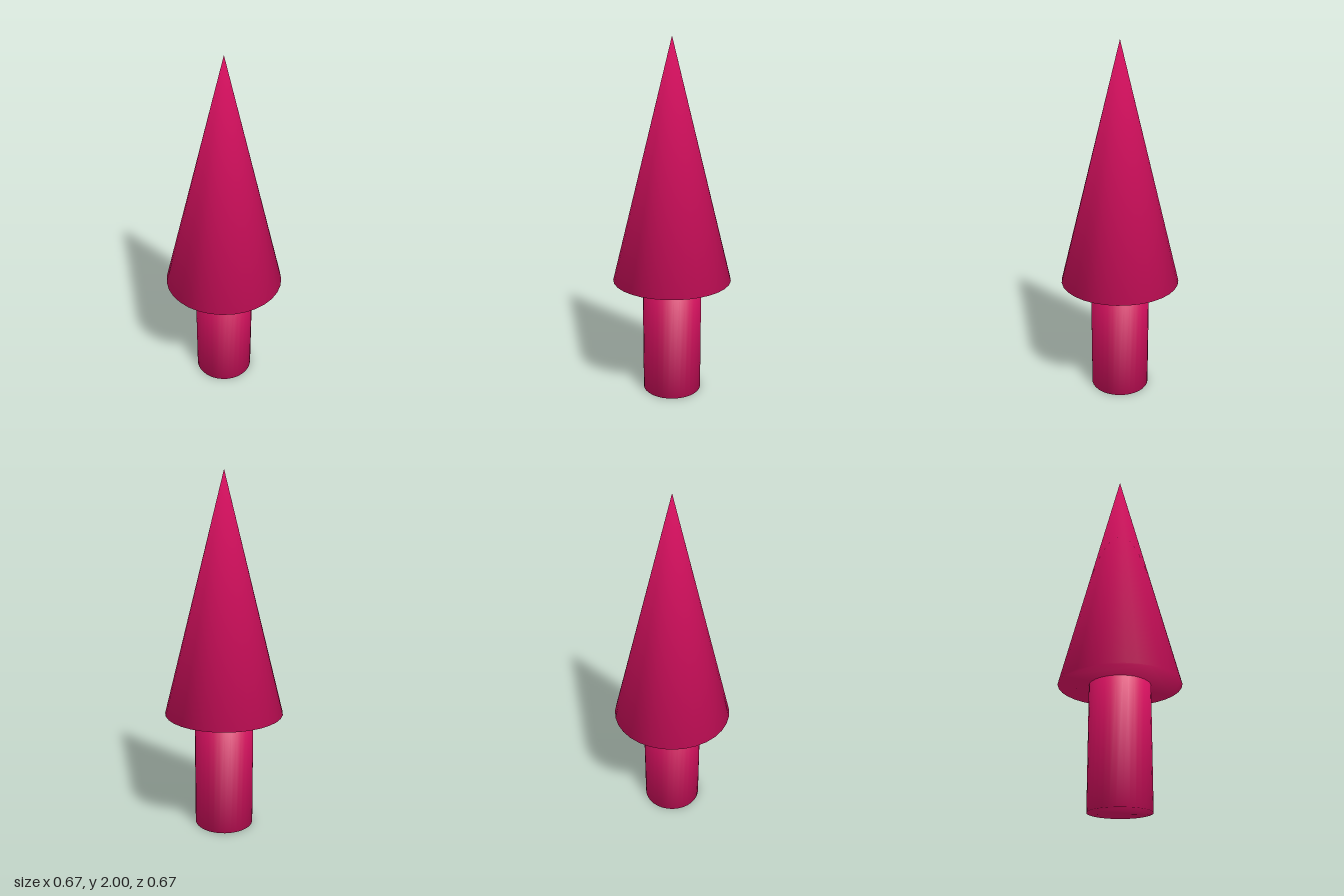
import * as THREE from 'three';
import { mergeGeometries } from 'three/addons/utils/BufferGeometryUtils.js';

const SIDES = 32;

// Round solid standing on y = 0, closed below, with normals blended softly over its rims
function softRound(bottomRadius, topRadius, height, rimTilt) {
  const wall = new THREE.CylinderGeometry(topRadius, bottomRadius, height, SIDES, 1, true);
  wall.translate(0, height / 2, 0);

  const ring = [];
  for (let i = 0; i < SIDES; i++) {
    const a = (i / SIDES) * Math.PI * 2;
    ring.push(new THREE.Vector2(bottomRadius * Math.cos(a), bottomRadius * Math.sin(a)));
  }
  const base = new THREE.ShapeGeometry(new THREE.Shape(ring));
  base.rotateX(Math.PI / 2); // faces down

  const geometry = mergeGeometries([wall, base]);
  const position = geometry.attributes.position;
  const n = new THREE.Vector3();
  for (let i = 0; i < position.count; i++) {
    const atTop = position.getY(i) > height / 2;
    n.set(position.getX(i), 0, position.getZ(i));
    if (atTop && topRadius === 0) n.set(0, 1, 0); // tip
    else {
      n.normalize().multiplyScalar(Math.sqrt(1 - rimTilt * rimTilt));
      n.y = atTop ? rimTilt : -rimTilt;
    }
    geometry.attributes.normal.setXYZ(i, n.x, n.y, n.z);
  }
  return geometry;
}

export function createModel() {
  const model = new THREE.Group();
  model.name = 'arrow';
  const material = new THREE.MeshStandardMaterial({ color: 0xd6105f });

  // Shaft
  const shaft = new THREE.Mesh(softRound(1 / 6, 1 / 6, 2 / 3, 0.447), material);
  shaft.name = 'shaft';

  // Pointed head
  const head = new THREE.Mesh(softRound(1 / 3, 0, 4 / 3, 0.277), material);
  head.name = 'head';
  head.position.y = 2 / 3;

  model.add(shaft, head);
  return model;
}
